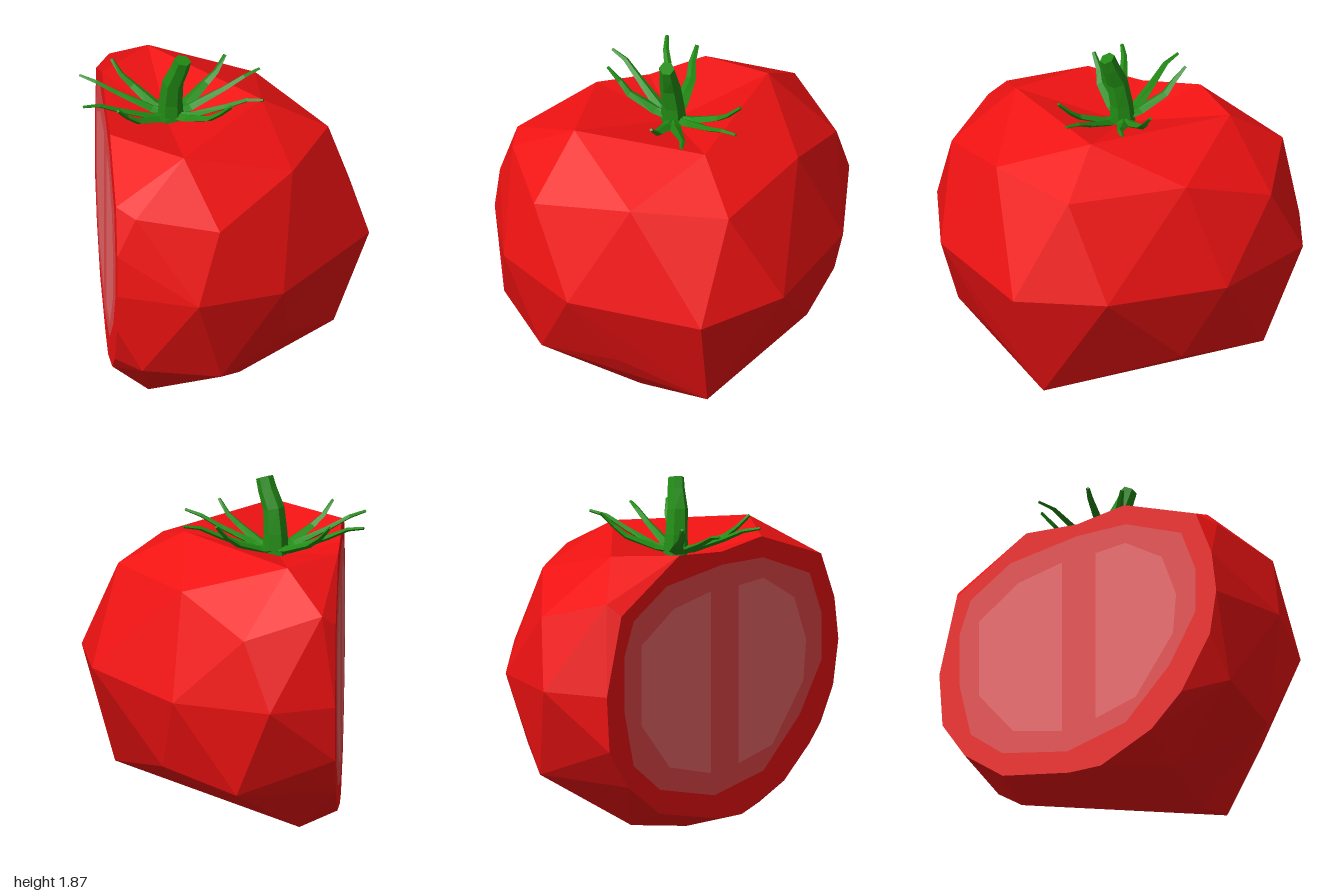
import * as THREE from 'three';
import { ConvexGeometry } from 'three/addons/geometries/ConvexGeometry.js';

const CUT = -0.62; // x of the flat sliced side
const material = (color) => new THREE.MeshStandardMaterial({ color, flatShading: true });

function addMesh(parent, name, geometry, mat) {
  const mesh = new THREE.Mesh(geometry, mat);
  mesh.name = name;
  parent.add(mesh);
  return mesh;
}

// Facet corners of the skin
const SKIN = [
  [-0.33, 0, 0.03], [0.06, 0.065, 0.33], [-0.43, 0.075, 0.48], [-0.42, 0.1, -0.48],
  [0.57, 0.26, 0.16], [-0.07, 0.37, 0.84], [-0.49, 0.45, 0.88], [0.3, 0.44, 0.55],
  [0.3, 0.44, -0.52], [-0.1, 0.38, -0.84], [0.75, 0.87, 0.27], [0.26, 0.87, 0.83],
  [-0.2, 0.91, 1.0], [0.68, 0.89, -0.23], [0.24, 0.86, -0.75], [-0.28, 0.88, -1.0],
  [0.55, 1.39, 0.03], [0.33, 1.42, 0.5], [-0.08, 1.3, 0.88], [-0.52, 1.36, 0.82],
  [0.2, 1.4, -0.51], [-0.14, 1.24, -0.87], [-0.55, 1.36, -0.8],
];
// Rim of the hollow around the stem, from cut to cut
const RIM = [[CUT, 1.565, 0.3], [-0.25, 1.58, 0.58], [0.2, 1.57, 0.02], [-0.36, 1.555, -0.57], [CUT, 1.56, -0.32]];
const HOLLOW = [-0.3, 1.45, 0];
const DIP = [CUT, 1.53, 0];

// Outline of the slice as [z, y]
const SLICE = [
  [-0.32, 1.56], [-0.76, 1.3], [-0.87, 0.88], [-0.85, 0.58], [-0.71, 0.37], [-0.47, 0.19], [-0.05, 0.1], [0.15, 0.09],
  [0.47, 0.22], [0.66, 0.39], [0.84, 0.68], [0.88, 0.92], [0.85, 1.15], [0.75, 1.4], [0.3, 1.565],
];
const FLESH = [
  [-0.74, 0.78], [-0.74, 1.08], [-0.67, 1.26], [-0.42, 1.41], [0, 1.46], [0.31, 1.45], [0.66, 1.31],
  [0.75, 1.08], [0.75, 0.83], [0.585, 0.56], [0.31, 0.3], [-0.06, 0.225], [-0.47, 0.32], [-0.67, 0.48],
];
const CHAMBERS = [
  [[-0.09, 1.33], [-0.37, 1.28], [-0.615, 1.12], [-0.615, 0.69], [-0.4, 0.43], [-0.09, 0.35]],
  [[0.12, 1.33], [0.31, 1.34], [0.54, 1.2], [0.63, 0.96], [0.61, 0.74], [0.375, 0.43], [0.12, 0.37]],
];

// Convex skin, left open at the slice and at the top, plus a sunken fan
function skinGeometry() {
  const points = [...SKIN, ...RIM, ...SLICE.map(([z, y]) => [CUT, y, z])].map((p) => new THREE.Vector3(...p));
  const pos = new ConvexGeometry(points).getAttribute('position');
  const out = [];
  for (let i = 0; i < pos.count; i += 3) {
    const tri = [0, 1, 2].map((k) => new THREE.Vector3().fromBufferAttribute(pos, i + k));
    const onCut = tri.every((v) => v.x < CUT + 0.005);
    const onTop = tri.every((v) => v.y > 1.54);
    if (!onCut && !onTop) tri.forEach((v) => out.push(v.x, v.y, v.z));
  }
  const loop = [DIP, ...RIM, DIP];
  for (let i = 0; i + 1 < loop.length; i++) out.push(...loop[i], ...loop[i + 1], ...HOLLOW);
  const g = new THREE.BufferGeometry();
  g.setAttribute('position', new THREE.Float32BufferAttribute(out, 3));
  g.computeVertexNormals();
  return g;
}

// Flat panel on the sliced side, facing -x
function panel(outline, lift) {
  const shape = new THREE.Shape(outline.map(([z, y]) => new THREE.Vector2(z, y)));
  return new THREE.ShapeGeometry(shape).rotateY(-Math.PI / 2).translate(CUT - lift, 0, 0);
}

// Sweep a polygon along stations [x, y, z, halfWidth, halfHeight]
function sweep(stations, sides, ref) {
  const pts = stations.map((s) => new THREE.Vector3(s[0], s[1], s[2]));
  const pos = [];
  const index = [];
  const last = pts.length - 1;
  pts.forEach((p, i) => {
    const t = pts[Math.min(i + 1, last)].clone().sub(pts[Math.max(i - 1, 0)]).normalize();
    const s = t.clone().cross(ref).normalize();
    const n = t.clone().cross(s);
    for (let j = 0; j < sides; j++) {
      const a = (j / sides) * Math.PI * 2;
      const v = p.clone().addScaledVector(s, Math.cos(a) * stations[i][3]).addScaledVector(n, Math.sin(a) * stations[i][4]);
      pos.push(v.x, v.y, v.z);
    }
  });
  const id = (i, j) => i * sides + (j % sides);
  for (let i = 0; i < last; i++) {
    for (let j = 0; j < sides; j++) {
      index.push(id(i, j), id(i, j + 1), id(i + 1, j + 1), id(i, j), id(i + 1, j + 1), id(i + 1, j));
    }
  }
  for (let j = 1; j + 1 < sides; j++) {
    index.push(id(0, 0), id(0, j + 1), id(0, j), id(last, 0), id(last, j), id(last, j + 1));
  }
  const g = new THREE.BufferGeometry();
  g.setAttribute('position', new THREE.Float32BufferAttribute(pos, 3));
  g.setIndex(index);
  const flat = g.toNonIndexed();
  flat.computeVertexNormals();
  return flat;
}

export function createModel() {
  const model = new THREE.Group();
  model.name = 'slicedTomato';
  const red = material(0xf01212);
  const green = material(0x228b14);

  const skin = red.clone();
  skin.side = THREE.DoubleSide;
  addMesh(model, 'skin', skinGeometry(), skin);

  // Sliced side
  addMesh(model, 'sliceRim', panel([...SLICE, [DIP[2], DIP[1]]], 0), red);
  addMesh(model, 'flesh', panel(FLESH, 0.003), material(0xe6484a));
  const chamberMat = material(0xeb6669);
  CHAMBERS.forEach((c) => addMesh(model, 'seedChamber', panel(c, 0.006), chamberMat));

  // Stem
  const stem = [
    [-0.28, 1.46, 0, 0.07, 0.07], [-0.28, 1.57, 0.005, 0.063, 0.06], [-0.27, 1.7, 0.025, 0.057, 0.056],
    [-0.235, 1.8, 0.05, 0.05, 0.045], [-0.22, 1.86, 0.065, 0.046, 0.04],
  ];
  addMesh(model, 'stem', sweep(stem, 6, new THREE.Vector3(0, 0, 1)), green);

  // Sepals: one long and one short, mirrored into each quarter
  const calyx = new THREE.Group();
  calyx.name = 'calyx';
  model.add(calyx);
  const up = new THREE.Vector3(0, 1, 0);
  const sepals = {
    longSepal: [[0, 1.48, 0, 0.03, 0.02], [0.1, 1.5, 0.04, 0.035, 0.018], [0.28, 1.575, 0.085, 0.022, 0.014],
      [0.39, 1.63, 0.115, 0.016, 0.011], [0.475, 1.65, 0.155, 0.01, 0.008]],
    shortSepal: [[0, 1.48, 0, 0.03, 0.02], [0.08, 1.5, 0.07, 0.04, 0.018], [0.19, 1.56, 0.175, 0.028, 0.015],
      [0.25, 1.61, 0.205, 0.02, 0.012], [0.3, 1.68, 0.255, 0.011, 0.009]],
  };
  for (const [name, path] of Object.entries(sepals)) {
    for (const sx of [-1, 1]) {
      for (const sz of [-1, 1]) {
        const stations = path.map(([x, y, z, w, h]) => [-0.275 + sx * x, y, sz * z, w, h]);
        addMesh(calyx, name, sweep(stations, 4, up), green);
      }
    }
  }
  return model;
}
